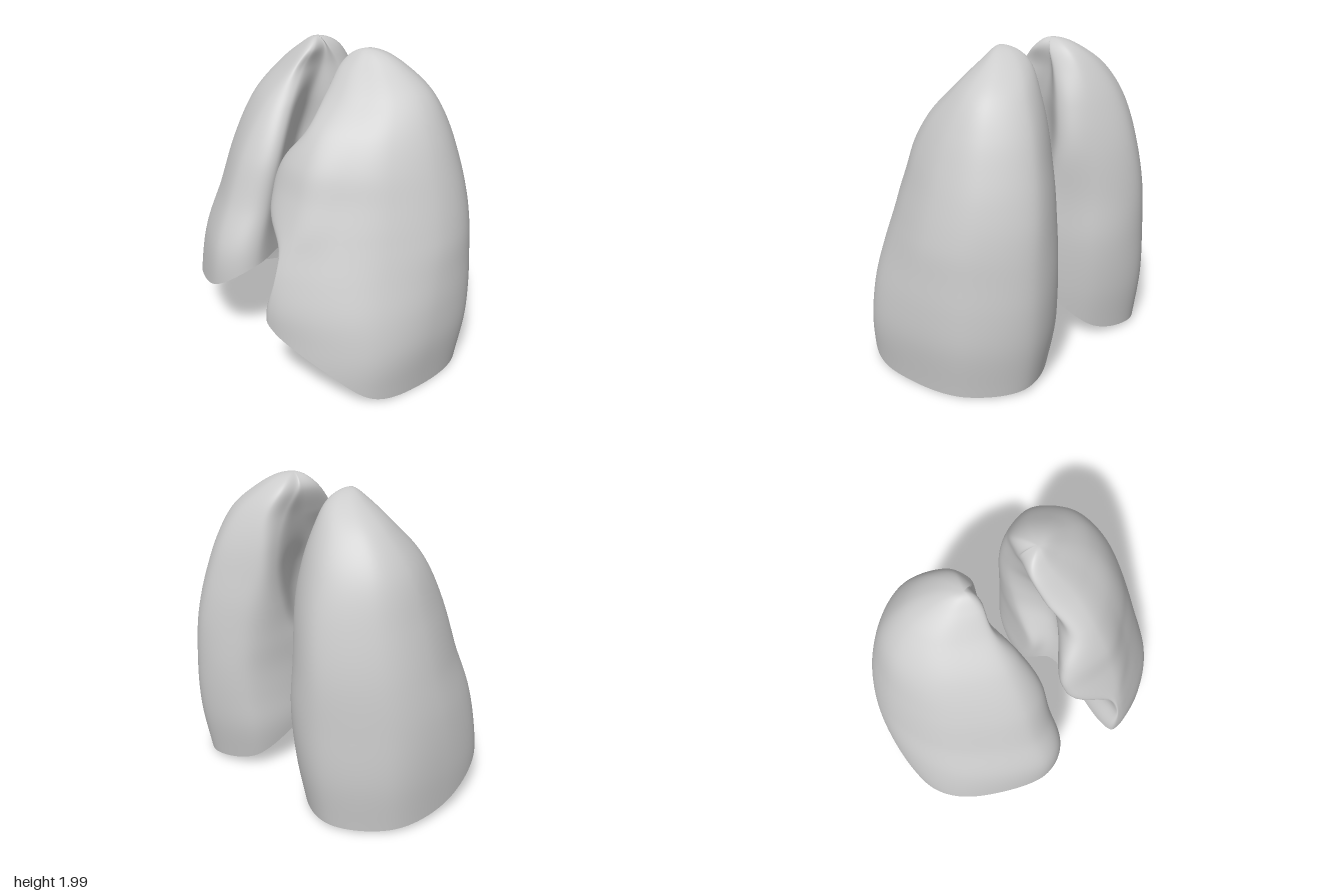
import * as THREE from 'three';
import { mergeVertices } from 'three/addons/utils/BufferGeometryUtils.js';

const AROUND = 140, ROWS = 80, BASE_ROWS = 24;

// Each level: height, lateral x, front z, back z, front-edge x, hilum x, back-medial x, back-medial z.
// Both lungs are described on the +x side; the right one is mirrored.
const LEFT = {
  side: 1, tip: 0.06, shoulder: 0.3, heel: 0.1, taper: 1, dome: 0.64, centre: [0.56, -0.02],
  rim: [0.5, 0.41, 0.23, 0.04, 0.01, 0.01, 0.03, 0.1, 0.33, 0.57],
  levels: [
    [2.0, 0.24, -0.15, -0.15, 0.24, 0.24, 0.24, -0.15],
    [1.9, 0.47, -0.01, -0.36, 0.13, 0.14, 0.15, -0.22],
    [1.75, 0.645, 0.13, -0.48, 0.15, 0.18, 0.17, -0.3],
    [1.55, 0.76, 0.33, -0.575, 0.19, 0.24, 0.17, -0.36],
    [1.38, 0.825, 0.43, -0.625, 0.09, 0.3, 0.17, -0.37],
    [1.2, 0.88, 0.49, -0.665, 0.06, 0.33, 0.17, -0.34],
    [1.02, 0.925, 0.56, -0.69, 0.14, 0.33, 0.17, -0.28],
    [0.92, 0.945, 0.6, -0.697, 0.29, 0.32, 0.165, -0.22],
    [0.75, 0.965, 0.66, -0.703, 0.355, 0.29, 0.16, -0.12],
    [0.55, 0.985, 0.7, -0.703, 0.29, 0.26, 0.15, -0.13],
    [0.35, 0.99, 0.7, -0.69, 0.29, 0.25, 0.14, -0.18],
    [0.0, 0.95, 0.69, -0.63, 0.29, 0.24, 0.18, -0.2],
  ],
};
const RIGHT = {
  side: -1, tip: 0.13, shoulder: 0.22, heel: 0.16, taper: 0.7, dome: 0.68, centre: [0.52, -0.02],
  rim: [0.63, 0.46, 0.34, 0.24, 0.08, 0.03, 0.03, 0.08, 0.37, 0.6],
  levels: [
    [1.99, 0.25, -0.15, -0.15, 0.25, 0.25, 0.25, -0.15],
    [1.92, 0.43, -0.03, -0.34, 0.19, 0.2, 0.17, -0.2],
    [1.8, 0.6, 0.08, -0.45, 0.2, 0.22, 0.14, -0.26],
    [1.6, 0.755, 0.28, -0.56, 0.12, 0.25, 0.1, -0.32],
    [1.3, 0.855, 0.46, -0.65, 0.055, 0.31, 0.07, -0.34],
    [1.0, 0.925, 0.57, -0.69, 0.05, 0.31, 0.06, -0.27],
    [0.7, 0.975, 0.69, -0.7, 0.03, 0.23, 0.02, -0.14],
    [0.35, 0.99, 0.71, -0.69, 0.03, 0.21, 0.05, -0.18],
    [0.0, 0.97, 0.7, -0.64, 0.03, 0.2, 0.1, -0.2],
  ],
};

// Closed Catmull-Rom through evenly numbered values, v in 0..1
function loop(values, v) {
  const n = values.length, i = Math.floor(v * n), t = v * n - i;
  const [a, b, c, d] = [-1, 0, 1, 2].map((o) => values[(i + o + n) % n]);
  return b + 0.5 * t * (c - a + t * (2 * a - 5 * b + 4 * c - d + t * (3 * (b - c) + d - a)));
}

// Smooth interpolation of the level table; square-root spacing rounds the apex
function levelAt(lung, y) {
  const L = lung.levels, top = L[0][0], last = L.length - 1;
  const Q = (i) => Math.sqrt(top - L[i][0]);
  const q = Math.sqrt(top - y);
  let i = 0;
  while (i < last - 1 && Q(i + 1) < q) i++;
  const h = Q(i + 1) - Q(i), t = Math.min(1, (q - Q(i)) / h);
  const chord = (k, c) => (L[k + 1][c] - L[k][c]) / (Q(k + 1) - Q(k));
  const slope = (k, c) => {
    if (k === 0) return chord(0, c);
    if (k === last) return chord(last - 1, c);
    const before = Q(k) - Q(k - 1), after = Q(k + 1) - Q(k);
    return (chord(k - 1, c) * after + chord(k, c) * before) / (before + after);
  };
  return [1, 2, 3, 4, 5, 6, 7].map((c) => {
    const a = L[i][c], b = L[i + 1][c];
    const t2 = t * t, t3 = t2 * t;
    return a + (b - a) * (3 * t2 - 2 * t3)
      + h * ((t3 - 2 * t2 + t) * slope(i, c) + (t3 - t2) * slope(i + 1, c));
  });
}

// Horizontal outline: front edge, around the ribs, back, then the medial side
function outline(lung, y, v) {
  const [lat, front, back, edge, hilum, medial, medialZ] = levelAt(lung, y);
  const w = lat - medial, d = front - back;
  // the front outer corner is fuller near the base than higher up
  const g = lung.taper * THREE.MathUtils.smoothstep(y, 0.15, 1);
  const xs = [edge, medial + lung.shoulder * w, lat - (0.33 + 0.05 * g) * w,
    lat - (0.07 + 0.07 * g) * w, lat,
    lat - 0.1 * w, lat - 0.47 * w, medial + lung.heel * w, medial, hilum];
  const zs = [front - lung.tip * d, front, front - (0.1 + 0.04 * g) * d,
    front - (0.27 + 0.05 * g) * d, back + (0.47 - 0.05 * g) * d,
    back + 0.18 * d, back, back + 0.09 * d, medialZ, back + 0.55 * d];
  return [loop(xs, v), loop(zs, v)];
}

// Skin over rows of closed rings; point(s, v) gives x, y, z
function skin(rows, point, side) {
  const pos = [], index = [];
  for (let j = 0; j <= rows; j++) {
    for (let k = 0; k < AROUND; k++) {
      const [x, y, z] = point(j / rows, k / AROUND);
      pos.push(side * x, y, z);
      if (j === rows) continue;
      const a = j * AROUND + k, b = j * AROUND + (k + 1) % AROUND;
      const c = a + AROUND, d = b + AROUND;
      if (side > 0) index.push(a, c, b, b, c, d);
      else index.push(a, b, c, b, d, c);
    }
  }
  const geo = new THREE.BufferGeometry();
  geo.setAttribute('position', new THREE.Float32BufferAttribute(pos, 3));
  geo.setIndex(index);
  const merged = mergeVertices(geo, 1e-5);
  merged.computeVertexNormals();
  return merged;
}

function makeLung(lung, name, material) {
  const group = new THREE.Group();
  group.name = name;
  const top = lung.levels[0][0];
  const rimY = (v) => Math.max(0.003, loop(lung.rim, v));

  // Outer body from the apex down to the wavy lower rim
  const body = skin(ROWS, (s, v) => {
    const y = top - s * s * (top - rimY(v));
    const [x, z] = outline(lung, y, v);
    return [x, y, z];
  }, lung.side);

  // Hollow underside: steep at the rim, rounding over into a dome
  const base = skin(BASE_ROWS, (s, v) => {
    const y = rimY(v);
    const [x, z] = outline(lung, y, v);
    const [cx, cz] = lung.centre;
    const inward = 1 - Math.cos(s * Math.PI / 2) * (1 - 0.25 * s);
    const rise = Math.sin(s * Math.PI / 2);
    return [x + (cx - x) * inward, y + (lung.dome - y) * rise, z + (cz - z) * inward];
  }, lung.side);

  for (const [geo, part] of [[body, 'Body'], [base, 'Underside']]) {
    const mesh = new THREE.Mesh(geo, material);
    mesh.name = name + part;
    group.add(mesh);
  }
  return group;
}

export function createModel() {
  const tissue = new THREE.MeshStandardMaterial({ color: 0xcccccc });
  tissue.name = 'light grey tissue';
  const model = new THREE.Group();
  model.name = 'lungs';
  model.add(makeLung(LEFT, 'leftLung', tissue), makeLung(RIGHT, 'rightLung', tissue));
  return model;
}
